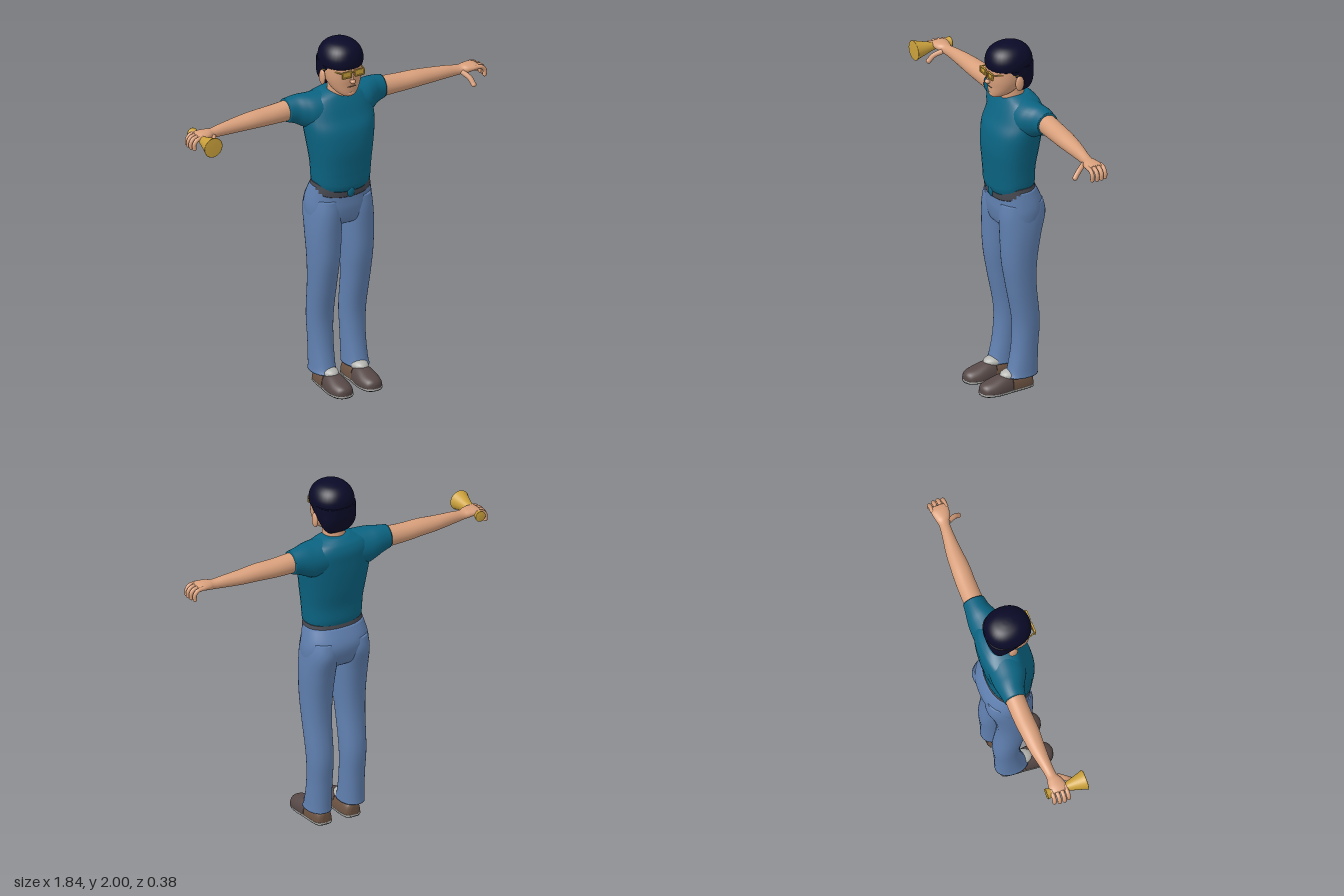
import * as THREE from 'three';
import { mergeGeometries } from 'three/addons/utils/BufferGeometryUtils.js';

const mat = (name, color) => Object.assign(new THREE.MeshStandardMaterial({ color }), { name });

// Smooth closed loft along an axis; each section is [position, c1, r1, c2, r2].
// axis y: c1/r1 = x, c2/r2 = z; axis x: y, z; axis z: x, y.
function loft(axis, sections, n = 2, steps = 5, segs = 32) {
  const pos = [], idx = [], rings = [];
  const at = (i) => sections[Math.max(0, Math.min(sections.length - 1, i))];
  for (let i = 0; i < sections.length - 1; i++) {
    for (let k = 0; k < steps; k++) {
      const t = k / steps;
      rings.push(at(i).map((b, c) => {
        const a = at(i - 1)[c], d = at(i + 1)[c], e = at(i + 2)[c];
        return b + 0.5 * t * (d - a + t * (2 * a - 5 * b + 4 * d - e + t * (3 * (b - d) + e - a)));
      }));
    }
  }
  rings.push(at(sections.length));
  const place = (t, u, v) => pos.push(...(axis === 'y' ? [u, t, v] : axis === 'x' ? [t, u, v] : [u, v, t]));
  const pow = (v) => Math.sign(v) * Math.abs(v) ** (2 / n);
  for (const [t, c1, r1, c2, r2] of rings) {
    for (let j = 0; j < segs; j++) {
      const a = (j / segs) * Math.PI * 2, c = pow(Math.cos(a)), s = pow(Math.sin(a));
      if (axis === 'y') place(t, c1 + r1 * c, c2 + r2 * s);
      else if (axis === 'x') place(t, c1 + r1 * s, c2 + r2 * c);
      else place(t, c1 + r1 * s, c2 + r2 * c);
    }
  }
  const last = rings.length - 1, low = pos.length / 3, high = low + 1;
  for (const r of [rings[0], rings[last]]) place(r[0], r[1], r[3]);
  for (let j = 0; j < segs; j++) {
    const k = (j + 1) % segs;
    for (let i = 0; i < last; i++) {
      const a = i * segs + j, b = i * segs + k;
      idx.push(a, a + segs, b, b, a + segs, b + segs);
    }
    idx.push(low, j, k, high, last * segs + k, last * segs + j);
  }
  const g = new THREE.BufferGeometry();
  g.setAttribute('position', new THREE.Float32BufferAttribute(pos, 3));
  g.setIndex(idx);
  g.computeVertexNormals();
  return g;
}

// Moves every vertex by a rule
function reshape(g, rule) {
  const p = g.attributes.position, v = new THREE.Vector3();
  for (let i = 0; i < p.count; i++) {
    rule(v.fromBufferAttribute(p, i));
    p.setXYZ(i, v.x, v.y, v.z);
  }
  g.computeVertexNormals();
  return g;
}

function mirrored(g) {
  const m = g.clone().scale(-1, 1, 1), a = m.index.array;
  for (let i = 0; i < a.length; i += 3) [a[i], a[i + 1]] = [a[i + 1], a[i]];
  return m;
}

const ball = (x, y, z, rx, ry, rz) =>
  new THREE.SphereGeometry(1, 20, 14).scale(rx, ry, rz).translate(x, y, z);
const box = (x, y, z, w, h, d) => new THREE.BoxGeometry(w, h, d).translate(x, y, z);

// Round-ended finger along a curve
function finger(points, r) {
  const v = points.map((p) => new THREE.Vector3(...p)), tip = points[points.length - 1];
  return mergeGeometries([
    new THREE.TubeGeometry(new THREE.CatmullRomCurve3(v), 12, r, 10), ball(...tip, r, r, r)]);
}

export function createModel() {
  const model = new THREE.Group();
  const body = new THREE.Group();
  body.name = 'body';
  body.position.x = -0.007;
  model.add(body);

  const skin = mat('skin', 0xd9a07c), shirt = mat('shirt teal', 0x0b6482), denim = mat('denim blue', 0x6080b0);
  const belt = mat('belt grey', 0x484a52), hair = mat('hair navy', 0x0a0a28), gold = mat('gold', 0xcca23c);
  const shoe = mat('shoe grey brown', 0x564846), heel = mat('heel brown', 0x6c5342);
  const sock = mat('sock grey', 0xb4b4b0), sole = mat('sole black', 0x1c1c20);

  const add = (name, g, m, parent = body) => {
    const mesh = new THREE.Mesh(g, m);
    mesh.name = name;
    parent.add(mesh);
  };
  const pair = (name, g, m) => {
    add(name + 'Left', g, m);
    add(name + 'Right', mirrored(g), m);
  };

  // Shirt, its hem dipping at the front
  const dip = (v) => { if (v.y < 1.23) v.y -= 0.03 * Math.max(0, v.z / 0.09); };
  add('shirtBody', reshape(loft('y', [
    [1.18, 0, 0.16, -0.028, 0.112], [1.22, 0, 0.166, -0.028, 0.122], [1.3, 0, 0.172, -0.026, 0.126],
    [1.4, 0, 0.185, -0.032, 0.138], [1.5, 0, 0.2, -0.044, 0.138], [1.57, 0, 0.205, -0.062, 0.124],
    [1.63, 0, 0.195, -0.075, 0.112], [1.67, 0, 0.165, -0.078, 0.095], [1.692, 0, 0.11, -0.075, 0.078],
    [1.705, 0, 0.07, -0.075, 0.06]], 2.3), dip), shirt);
  add('shirtTuck', ball(0, 1.15, 0.077, 0.024, 0.035, 0.016), shirt);
  pair('sleeve', loft('x', [
    [0.06, 1.6, 0.098, -0.075, 0.1], [0.16, 1.597, 0.1, -0.08, 0.096], [0.21, 1.607, 0.09, -0.09, 0.082],
    [0.25, 1.616, 0.077, -0.098, 0.068], [0.298, 1.621, 0.065, -0.1, 0.06]]), shirt);

  // Belt and trousers
  add('belt', reshape(loft('y', [
    [1.145, 0, 0.172, -0.038, 0.118], [1.17, 0, 0.168, -0.033, 0.116], [1.198, 0, 0.164, -0.03, 0.114]], 2.3), dip), belt);
  add('trouserHips', loft('y', [
    [0.945, 0, 0.15, -0.05, 0.085], [0.97, 0, 0.182, -0.05, 0.112], [1.04, 0, 0.19, -0.055, 0.132],
    [1.1, 0, 0.184, -0.053, 0.131], [1.175, 0, 0.168, -0.036, 0.114]], 2.3), denim);
  pair('trouserLeg', loft('y', [
    [0.08, 0.102, 0.068, -0.046, 0.092], [0.12, 0.101, 0.066, -0.054, 0.083], [0.25, 0.1, 0.066, -0.068, 0.073],
    [0.4, 0.101, 0.071, -0.073, 0.075], [0.6, 0.103, 0.077, -0.045, 0.083], [0.75, 0.102, 0.085, -0.034, 0.097],
    [0.9, 0.1, 0.092, -0.042, 0.113], [1.02, 0.095, 0.092, -0.055, 0.13], [1.1, 0.09, 0.085, -0.053, 0.12]], 2.2), denim);

  // Shoes: flat-bottomed lofts over a thin two-layer sole
  const foot = (sections, lo, hi) => reshape(loft('z', sections, 2.3),
    (v) => { v.y = THREE.MathUtils.clamp(v.y, lo, hi); });
  const heelRings = [[-0.115, 0.088, 0.02, 0.015, 0.045], [-0.1, 0.088, 0.044, 0.015, 0.068],
    [-0.05, 0.088, 0.054, 0.015, 0.08], [0.035, 0.09, 0.058, 0.015, 0.078]];
  const toeRings = [[0.02, 0.09, 0.057, 0.015, 0.083], [0.07, 0.09, 0.063, 0.015, 0.075],
    [0.12, 0.09, 0.064, 0.015, 0.06], [0.165, 0.09, 0.052, 0.015, 0.047], [0.185, 0.09, 0.034, 0.015, 0.035],
    [0.194, 0.09, 0.012, 0.015, 0.02]];
  const soleRings = [...heelRings.slice(0, 3), ...toeRings].map(([z, cx, rx, cy]) => [z, cx, rx + 0.002, cy, 0.05]);
  pair('shoeHeel', foot(heelRings, 0.012, 1), heel);
  pair('shoeFront', foot(toeRings, 0.012, 1), shoe);
  pair('soleEdge', foot(soleRings, 0.004, 0.014), sock);
  pair('soleBottom', foot(soleRings, 0, 0.005), sole);
  pair('sock', ball(0.092, 0.085, 0.01, 0.046, 0.032, 0.065), sock);

  // Arms and hands
  pair('arm', loft('x', [
    [0.26, 1.62, 0.058, -0.1, 0.054], [0.4, 1.616, 0.051, -0.1, 0.053], [0.5, 1.617, 0.047, -0.096, 0.051],
    [0.6, 1.614, 0.041, -0.094, 0.043], [0.7, 1.612, 0.034, -0.087, 0.032], [0.765, 1.61, 0.027, -0.081, 0.029],
    [0.8, 1.614, 0.026, -0.076, 0.041], [0.84, 1.618, 0.021, -0.075, 0.048], [0.87, 1.618, 0.013, -0.075, 0.045]]), skin);
  [-0.115, -0.089, -0.062, -0.036].forEach((z, i) => {
    const reach = [0, 0.008, 0.01, 0.004][i];
    pair('finger' + (i + 1), finger([[0.845, 1.62, z], [0.88 + reach, 1.614, z],
      [0.898 + reach, 1.592, z], [0.897 + reach, 1.567, z]], 0.0115), skin);
  });
  pair('thumb', finger([[0.772, 1.605, -0.055], [0.795, 1.58, -0.012], [0.803, 1.55, 0.014]], 0.014), skin);

  // Neck and head
  add('neck', loft('y', [[1.62, 0, 0.075, -0.06, 0.065], [1.69, 0, 0.062, -0.05, 0.063],
    [1.77, 0, 0.06, -0.045, 0.062]]), skin);
  const head = new THREE.Group();
  head.name = 'head';
  body.add(head);
  add('face', loft('y', [
    [1.702, 0, 0.022, 0.052, 0.022], [1.712, 0, 0.043, 0.042, 0.042], [1.735, 0, 0.068, 0.02, 0.068],
    [1.77, 0, 0.088, 0.002, 0.089], [1.81, 0, 0.1, -0.008, 0.103], [1.86, 0, 0.104, -0.015, 0.11],
    [1.91, 0, 0.1, -0.02, 0.108], [1.95, 0, 0.08, -0.025, 0.09]], 2.2), skin, head);
  add('nose', mergeGeometries([ball(0, 1.797, 0.099, 0.015, 0.013, 0.018), ball(0, 1.82, 0.094, 0.009, 0.03, 0.012)]), skin, head);
  add('chin', ball(0, 1.722, 0.072, 0.026, 0.016, 0.018), skin, head);
  add('mouth', ball(0, 1.765, 0.089, 0.026, 0.0035, 0.004), heel, head);
  for (const s of [1, -1]) add('ear', ball(s * 0.108, 1.797, -0.035, 0.013, 0.043, 0.025), skin, head);

  // Hair: a full crown and a lower back behind the ears
  add('hairCrown', loft('y', [
    [1.868, 0, 0.112, -0.026, 0.122], [1.89, 0, 0.117, -0.026, 0.127], [1.925, 0, 0.114, -0.027, 0.124],
    [1.96, 0, 0.097, -0.027, 0.107], [1.985, 0, 0.068, -0.028, 0.076], [1.997, 0, 0.032, -0.028, 0.036],
    [2, 0, 0.006, -0.028, 0.006]], 2.15), hair, head);
  add('hairBack', loft('y', [
    [1.73, 0, 0.058, -0.088, 0.022], [1.75, 0, 0.08, -0.092, 0.036], [1.785, 0, 0.099, -0.09, 0.052],
    [1.82, 0, 0.108, -0.07, 0.08], [1.85, 0, 0.112, -0.052, 0.1], [1.89, 0, 0.114, -0.04, 0.113]], 2.6), hair, head);

  // Glasses: framed lenses, bridge and side arms
  const frame = [box(0, 1.855, 0.106, 0.03, 0.006, 0.006)];
  for (const s of [1, -1]) {
    const x = s * 0.039;
    frame.push(box(x, 1.845, 0.103, 0.048, 0.028, 0.004));
    for (const y of [1.83, 1.861]) frame.push(box(x, y, 0.106, 0.056, 0.006, 0.01));
    for (const e of [-1, 1]) frame.push(box(x + e * 0.026, 1.845, 0.106, 0.005, 0.034, 0.01));
    const side = new THREE.LineCurve3(new THREE.Vector3(s * 0.066, 1.857, 0.104), new THREE.Vector3(s * 0.109, 1.845, -0.03));
    frame.push(new THREE.TubeGeometry(side, 1, 0.004, 8));
  }
  add('glasses', mergeGeometries(frame), gold, head);

  // Double-flared hand bell held in the right hand
  const profile = [[0, -0.145], [0.029, -0.145], [0.03, -0.14], [0.018, -0.095], [0.017, -0.06],
    [0.026, -0.02], [0.052, 0.068], [0.056, 0.076], [0.053, 0.079], [0, 0.079]].map((p) => new THREE.Vector2(...p));
  add('handBell', new THREE.LatheGeometry(profile, 32).rotateX(Math.PI / 2).translate(-0.858, 1.606, 0), gold, model);
  return model;
}
